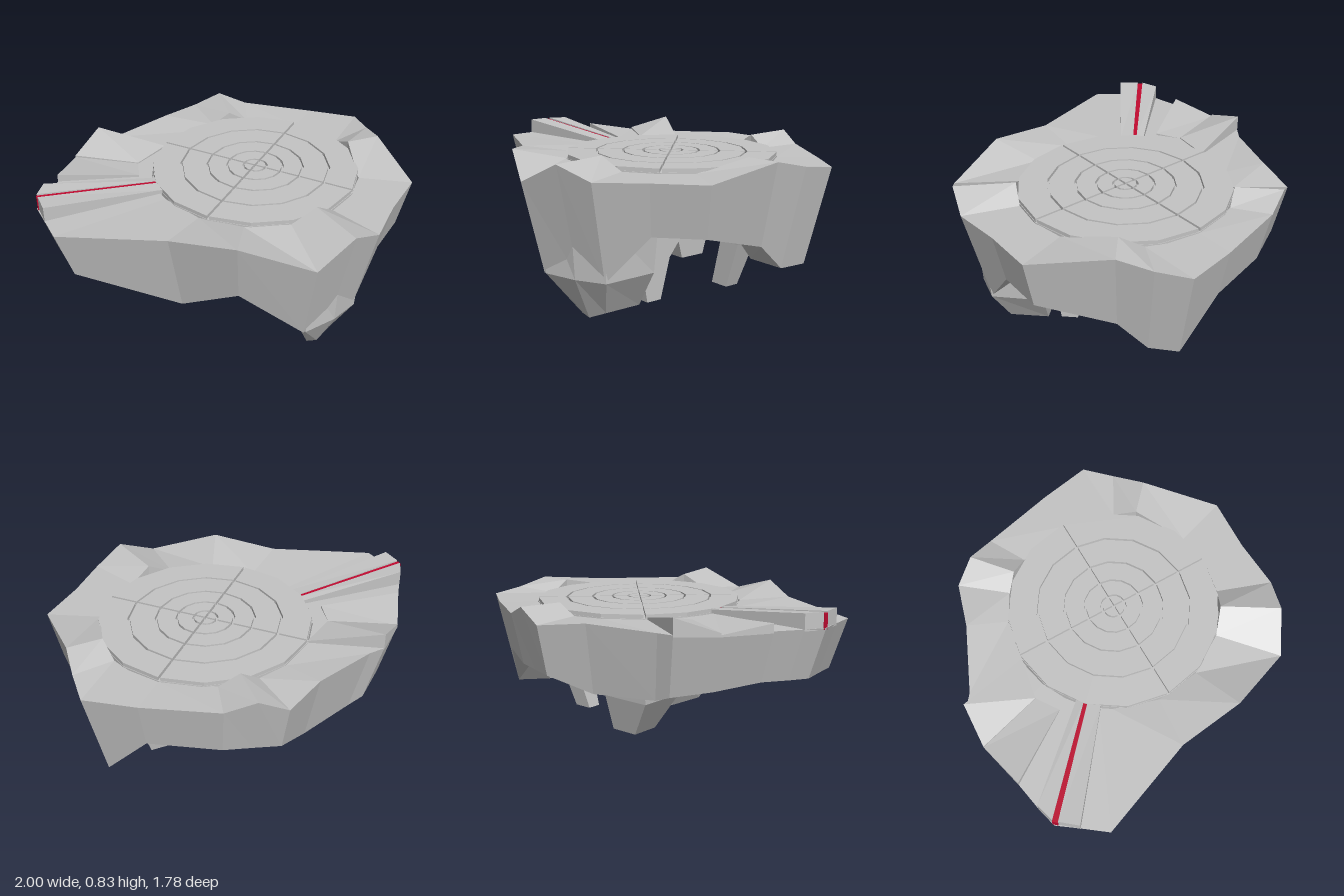
import * as THREE from 'three';

const CX = 0.21, CZ = -0.04, R = 0.565;
const rock = new THREE.MeshStandardMaterial({ color: 0xc4c4c4, side: THREE.DoubleSide, flatShading: true });
rock.name = 'pale grey stone';
const red = new THREE.MeshStandardMaterial({ color: 0xc00a30 });
red.name = 'red inlay';

// Faceted surface through rows of points; closed rings around the vertical axis
function loft(rows, caps) {
  const pos = [];
  const tri = (a, b, c) => pos.push(...a, ...b, ...c);
  const n = rows[0].length;
  for (let j = 0; j + 1 < rows.length; j++) {
    for (let i = 0; i < n; i++) {
      const k = (i + 1) % n;
      tri(rows[j][i], rows[j + 1][i], rows[j + 1][k]);
      tri(rows[j][i], rows[j + 1][k], rows[j][k]);
    }
  }
  if (caps) {
    const bottom = rows[0], top = rows[rows.length - 1];
    for (let i = 1; i + 1 < n; i++) {
      tri(bottom[0], bottom[i], bottom[i + 1]);
      tri(top[0], top[i + 1], top[i]);
    }
  }
  const g = new THREE.BufferGeometry();
  g.setAttribute('position', new THREE.Float32BufferAttribute(pos, 3));
  g.computeVertexNormals();
  return g;
}

const rect = (x0, x1, z0, z1, y) => [[x0, y, z0], [x1, y, z0], [x1, y, z1], [x0, y, z1]];

export function createModel() {
  const model = new THREE.Group();
  model.name = 'rockPlatform';
  const add = (name, geometry, material = rock) => {
    const mesh = new THREE.Mesh(geometry, material);
    mesh.name = name;
    model.add(mesh);
    return mesh;
  };

  // Rim outline: x, z, top height, bottom height, height beside the disc
  const rim = [
    [0.12, -0.89, 0.75, 0.48, 0.75], [0.27, -0.86, 0.82, 0.48, 0.81],
    [0.42, -0.80, 0.76, 0.48, 0.75], [0.77, -0.59, 0.75, 0.48, 0.75],
    [1.00, -0.43, 0.75, 0.23, 0.75], [0.99, -0.25, 0.77, 0.23, 0.75],
    [0.97, -0.07, 0.81, 0.37, 0.81], [0.97, 0.36, 0.75, 0.48, 0.75],
    [0.76, 0.55, 0.75, 0.48, 0.75], [0.58, 0.75, 0.75, 0.23, 0.75],
    [0.41, 0.83, 0.82, 0.23, 0.82], [0.19, 0.89, 0.71, 0.23, 0.75],
    [-0.16, 0.73, 0.81, 0.47, 0.75], [-0.44, 0.50, 0.77, 0.30, 0.75],
    [-0.96, 0.26, 0.75, 0.48, 0.75], [-0.98, 0.11, 0.75, 0.48, 0.75],
    [-1.00, -0.02, 0.75, 0.48, 0.75], [-0.94, -0.12, 0.75, 0.48, 0.75],
    [-0.85, -0.25, 0.75, 0.48, 0.75], [-0.71, -0.48, 0.75, 0.45, 0.75],
    [-0.54, -0.63, 0.75, 0.42, 0.75], [-0.45, -0.64, 0.75, 0.39, 0.75],
    [-0.10, -0.77, 0.77, 0.39, 0.75],
  ];
  const rows = [[], [], [], [], [], []];
  for (const [x, z, top, bottom, inner] of rim) {
    const dx = x - CX, dz = z - CZ, d = Math.hypot(dx, dz);
    const at = (s, y) => [CX + dx * s, y, CZ + dz * s];
    const taper = 1 - 0.27 * (top - bottom);
    rows[0].push(at(0.46 / d, 0.71));
    rows[1].push(at(taper * 0.74, bottom + 0.02));
    rows[2].push(at(taper, bottom));
    rows[3].push(at(1, top));
    rows[4].push(at(0.57 / d, inner));
    rows[5].push(at(0.57 / d, 0.72));
  }
  add('rockRim', loft(rows));

  // Large tapering outcrop at the front
  add('frontOutcrop', loft([
    [[0.31, 0.01, 0.36], [0.44, 0.04, 0.36], [0.44, 0.04, 0.57], [0.35, 0, 0.61], [0.29, 0.01, 0.61]],
    [[0.20, 0.23, 0.36], [0.56, 0.24, 0.36], [0.54, 0.23, 0.64], [0.39, 0.23, 0.72], [0.205, 0.23, 0.77]],
    [[0.20, 0.55, 0.36], [0.60, 0.55, 0.36], [0.55, 0.55, 0.66], [0.39, 0.55, 0.74], [0.22, 0.55, 0.76]],
  ], true));

  // Hanging stones inside the hollow
  const stones = [
    [rect(-0.08, 0.08, -0.40, -0.24, 0.10), rect(-0.20, 0.09, -0.45, -0.18, 0.30), rect(-0.22, 0.10, -0.48, -0.15, 0.72)],
    [rect(0.49, 0.60, -0.18, -0.10, 0.085), rect(0.55, 0.68, -0.22, -0.10, 0.33), rect(0.62, 0.82, -0.25, -0.08, 0.70)],
    [rect(0.30, 0.42, 0.20, 0.29, 0.03), rect(0.22, 0.42, 0.14, 0.33, 0.25), rect(0.16, 0.42, 0.02, 0.40, 0.40), rect(0.15, 0.45, 0, 0.42, 0.72)],
  ];
  stones.forEach((s, i) => add('hangingStone' + (i + 1), loft(s, true)));

  // Raised wedges on the right-hand edge
  const wedges = [
    [[-0.99, 0.83, 0.0], [-0.35, 0.775, -0.03], [-0.34, 0.77, 0.04], [-0.98, 0.83, 0.11]],
    [[-0.94, 0.83, -0.12], [-0.34, 0.77, -0.09], [-0.35, 0.775, -0.05], [-0.99, 0.83, -0.03]],
    [[-0.71, 0.75, -0.48], [-0.39, 0.75, -0.30], [-0.42, 0.76, -0.16], [-0.85, 0.79, -0.25]],
    [[-0.54, 0.835, -0.63], [-0.20, 0.76, -0.43], [-0.39, 0.755, -0.30], [-0.71, 0.76, -0.48]],
  ];
  wedges.forEach((top, i) =>
    add('edgeWedge' + (i + 1), loft([top.map(([x, , z]) => [x, 0.74, z]), top], true)));

  // Red line in the gap between the first two wedges
  add('redInlay', loft([
    [[-0.995, 0.74, -0.03], [-0.35, 0.74, -0.05], [-0.35, 0.74, -0.03], [-0.995, 0.74, 0.0]],
    [[-0.995, 0.822, -0.03], [-0.35, 0.772, -0.05], [-0.35, 0.772, -0.03], [-0.995, 0.822, 0.0]],
  ], true), red);

  // Sixteen-sided disc
  const base = add('discBase', new THREE.CylinderGeometry(R + 0.005, R + 0.005, 0.055, 16));
  base.position.set(CX, 0.7275, CZ);

  // Paving: concentric rings cut into quarters by a diagonal cross
  const radii = [0, 0.055, 0.145, 0.255, 0.40, R];
  for (let r = 0; r + 1 < radii.length; r++) {
    const inner = radii[r] ? radii[r] + 0.006 : 0, outer = radii[r + 1] - 0.006;
    for (let q = 0; q < 4; q++) {
      const start = Math.PI / 4 + q * Math.PI / 2, mid = start + Math.PI / 4;
      const arc = (rad) => Array.from({ length: 5 }, (_, i) => {
        const a = start + i * Math.PI / 8;
        return new THREE.Vector2(
          Math.cos(a) * rad + 0.009 * Math.cos(mid), Math.sin(a) * rad + 0.009 * Math.sin(mid));
      });
      const points = inner ? [...arc(outer), ...arc(inner).reverse()] : [...arc(outer), arc(0)[0]];
      const g = new THREE.ExtrudeGeometry(new THREE.Shape(points), { depth: 0.03, bevelEnabled: false });
      g.rotateX(-Math.PI / 2);
      add('discPaving', g).position.set(CX, 0.745, CZ);
    }
  }
  return model;
}
